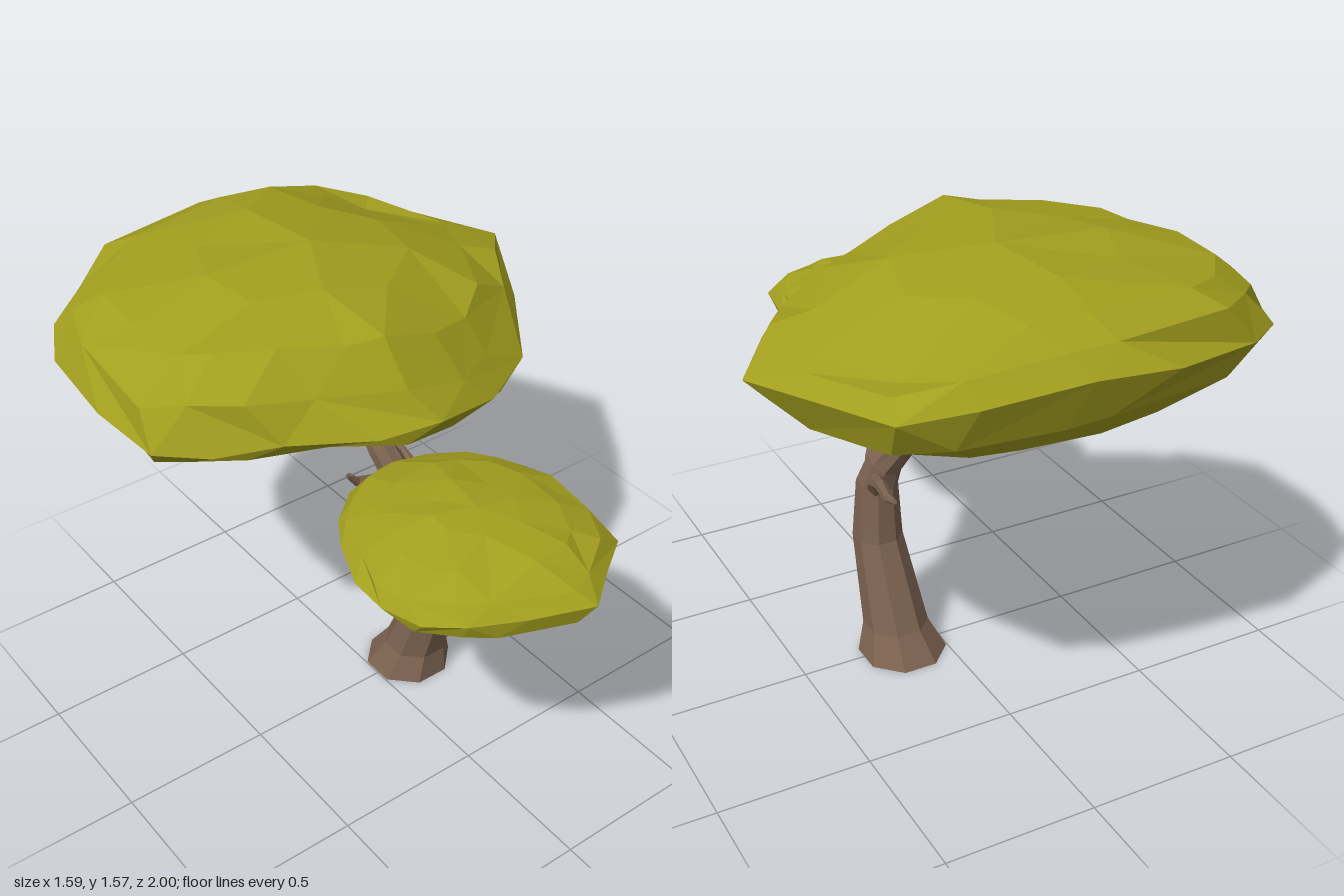
import * as THREE from 'three';

const bark = new THREE.MeshStandardMaterial({ color: 0x7d6351, flatShading: true, side: THREE.DoubleSide });
const leaves = new THREE.MeshStandardMaterial({ color: 0xa29e1e, flatShading: true });

// Small seeded generator, values in -1..1
function makeNoise(seed) {
  return () => {
    seed = (seed * 16807) % 2147483647;
    return (seed / 2147483647) * 2 - 1;
  };
}

// Skin a list of equal-length rings (bottom to top), closed at the top by a fan
// and at the bottom too when a bottom point is given
function loft(rings, top, bottom) {
  const n = rings[0].length;
  const last = rings.length - 1;
  const points = [];
  const face = (a, b, c) => {
    if (!a.equals(b) && !b.equals(c) && !c.equals(a)) points.push(a, b, c);
  };
  for (let i = 0; i < n; i++) {
    const j = (i + 1) % n;
    if (bottom) face(bottom, rings[0][i], rings[0][j]);
    for (let r = 0; r < last; r++) {
      const a = rings[r][i], b = rings[r][j], c = rings[r + 1][i], d = rings[r + 1][j];
      // Stagger the diagonals for an irregular faceted surface
      if ((i + r) % 2) { face(a, c, b); face(b, c, d); }
      else { face(a, d, b); face(a, c, d); }
    }
    face(top, rings[last][j], rings[last][i]);
  }
  const geo = new THREE.BufferGeometry().setFromPoints(points);
  geo.computeVertexNormals();
  return geo;
}

// Tapered limb, open at its base; stations are [x, y, z, radius]
function limb(name, stations, sides) {
  const path = stations.map(([x, y, z]) => new THREE.Vector3(x, y, z));
  const ref = new THREE.Vector3(1, 0, 1).normalize();
  const rings = path.map((p, k) => {
    const t = p.y < 0.5
      ? new THREE.Vector3(0, 1, 0)
      : path[Math.min(k + 1, path.length - 1)].clone().sub(path[Math.max(k - 1, 0)]).normalize();
    const u = ref.clone().addScaledVector(t, -ref.dot(t)).normalize();
    const v = u.clone().cross(t);
    return Array.from({ length: sides }, (_, i) => {
      const a = ((i + 0.5) / sides) * Math.PI * 2, r = stations[k][3];
      return p.clone().addScaledVector(u, r * Math.cos(a)).addScaledVector(v, r * Math.sin(a));
    });
  });
  const mesh = new THREE.Mesh(loft(rings, path[path.length - 1]), bark);
  mesh.name = name;
  return mesh;
}

// Foliage cushion: a plan outline repeated at several scales and heights.
// outline points are [x, z, sag]; layers are [scale, y, slopeX, slopeZ, droopX, sagWeight];
// inner layers use every other point
function cushion(name, outline, [cx, cz], layers, bottomY, topY, rough, seed) {
  const noise = makeNoise(seed);
  const n = outline.length;
  const rings = layers.map(([s, y, slopeX, slopeZ, droop, sagWeight]) => {
    const ring = outline.map(([px, pz, sag = 0], i) => {
      const [qx, qz] = outline[(i + 1) % n];
      const rim = s === 1;
      const mix = rim ? 0 : 0.4 + 0.3 * noise();
      const k = rim ? 1 : s * (1 + 0.04 * noise());
      const dx = (px + (qx - px) * mix - cx) * k;
      const dz = (pz + (qz - pz) * mix - cz) * k;
      const h = y + slopeX * dx + slopeZ * dz - droop * dx * dx - sag * sagWeight + rough * noise();
      return new THREE.Vector3(cx + dx, h, cz + dz);
    });
    return s < 0.6 ? ring.map((_, i) => ring[i - (i % 2)]) : ring;
  });
  const mesh = new THREE.Mesh(
    loft(rings, new THREE.Vector3(cx, topY, cz), new THREE.Vector3(cx, bottomY, cz)), leaves);
  mesh.name = name;
  return mesh;
}

export function createModel() {
  const tree = new THREE.Group();
  tree.name = 'tree';

  // Leaning trunk, flared at the foot
  tree.add(limb('trunk', [
    [0.143, 0, -0.01, 0.15], [0.153, 0.1, 0.02, 0.11], [0.169, 0.4, 0.115, 0.084],
    [0.167, 0.6, 0.115, 0.07], [0.15, 0.68, 0.09, 0.063], [0.085, 0.81, 0.025, 0.053],
    [0.06, 0.92, -0.06, 0.046], [0.055, 1.0, -0.135, 0.04], [0.04, 1.12, -0.24, 0.033],
    [0.03, 1.2, -0.3, 0.022],
  ], 8));

  // Limbs growing from the trunk
  tree.add(limb('frontBranch', [
    [0.15, 0.51, 0.14, 0.04], [0.125, 0.63, 0.21, 0.038], [0.08, 0.675, 0.28, 0.032],
    [-0.035, 0.735, 0.4, 0.025], [-0.065, 0.82, 0.55, 0.02], [-0.06, 0.92, 0.64, 0.016],
  ], 6));
  tree.add(limb('sideBranch', [
    [0.17, 0.57, 0.1, 0.036], [0.21, 0.65, 0.03, 0.029], [0.24, 0.695, -0.07, 0.02],
    [0.27, 0.715, -0.18, 0.016], [0.28, 0.738, -0.25, 0.008],
  ], 6));
  tree.add(limb('backBranch', [
    [0.06, 0.95, -0.09, 0.028], [0.1, 0.995, -0.18, 0.025], [0.17, 1.03, -0.3, 0.021],
    [0.19, 1.09, -0.38, 0.016], [0.19, 1.17, -0.41, 0.011],
  ], 6));
  tree.add(limb('twig', [
    [0.08, 0.83, 0.03, 0.027], [-0.01, 0.86, 0.005, 0.021], [-0.08, 0.88, -0.005, 0.016],
    [-0.115, 0.92, 0.0, 0.011], [-0.125, 0.945, 0.03, 0.005],
  ], 5));

  // Wide upper canopy
  tree.add(cushion('upperCanopy', [
    [-0.2, -1], [0.05, -0.97], [0.36, -0.92, 0.03], [0.56, -0.84, 0.06], [0.67, -0.62, 0.04],
    [0.79, -0.38], [0.61, -0.07, 0.03], [0.43, 0.18, 0.06], [0.2, 0.31, 0.04], [-0.03, 0.35],
    [-0.22, 0.3], [-0.45, 0.15], [-0.63, 0.05], [-0.77, -0.05], [-0.8, -0.3], [-0.78, -0.6],
    [-0.7, -0.75], [-0.54, -0.87],
  ], [0, -0.35], [
    [0.4, 1.135, 0, 0, 0, 0],
    [0.72, 1.145, -0.03, -0.02, 0.03, 0],
    [0.92, 1.225, 0.01, -0.055, 0.04, 0.2],
    [1, 1.345, 0.04, -0.1, 0.07, 0.7],
    [0.93, 1.435, -0.01, -0.08, 0.1, 1],
    [0.78, 1.52, -0.055, -0.02, 0.2, 1],
    [0.46, 1.55, -0.05, 0, 0.2, 0.4],
  ], 1.13, 1.565, 0.014, 71));

  // Smaller front canopy
  tree.add(cushion('frontCanopy', [
    [-0.1, 0.13], [0.06, 0.17], [0.2, 0.29], [0.26, 0.4], [0.28, 0.6], [0.24, 0.83],
    [0.12, 0.91], [0, 1], [-0.18, 0.92], [-0.33, 0.84], [-0.42, 0.75], [-0.46, 0.62],
    [-0.46, 0.5], [-0.4, 0.35], [-0.33, 0.24], [-0.23, 0.16],
  ], [-0.08, 0.57], [
    [0.4, 0.91, -0.01, -0.02, 0, 0],
    [0.78, 0.924, -0.01, -0.045, 0, 0],
    [0.94, 0.96, 0.01, -0.03, 0, 0],
    [1, 1.01, 0.05, -0.01, 0, 0],
    [0.91, 1.055, 0.06, 0, 0.05, 0],
    [0.68, 1.1, 0.04, 0, 0.1, 0],
    [0.35, 1.125, 0, 0, 0, 0],
  ], 0.905, 1.135, 0.008, 29));

  return tree;
}
